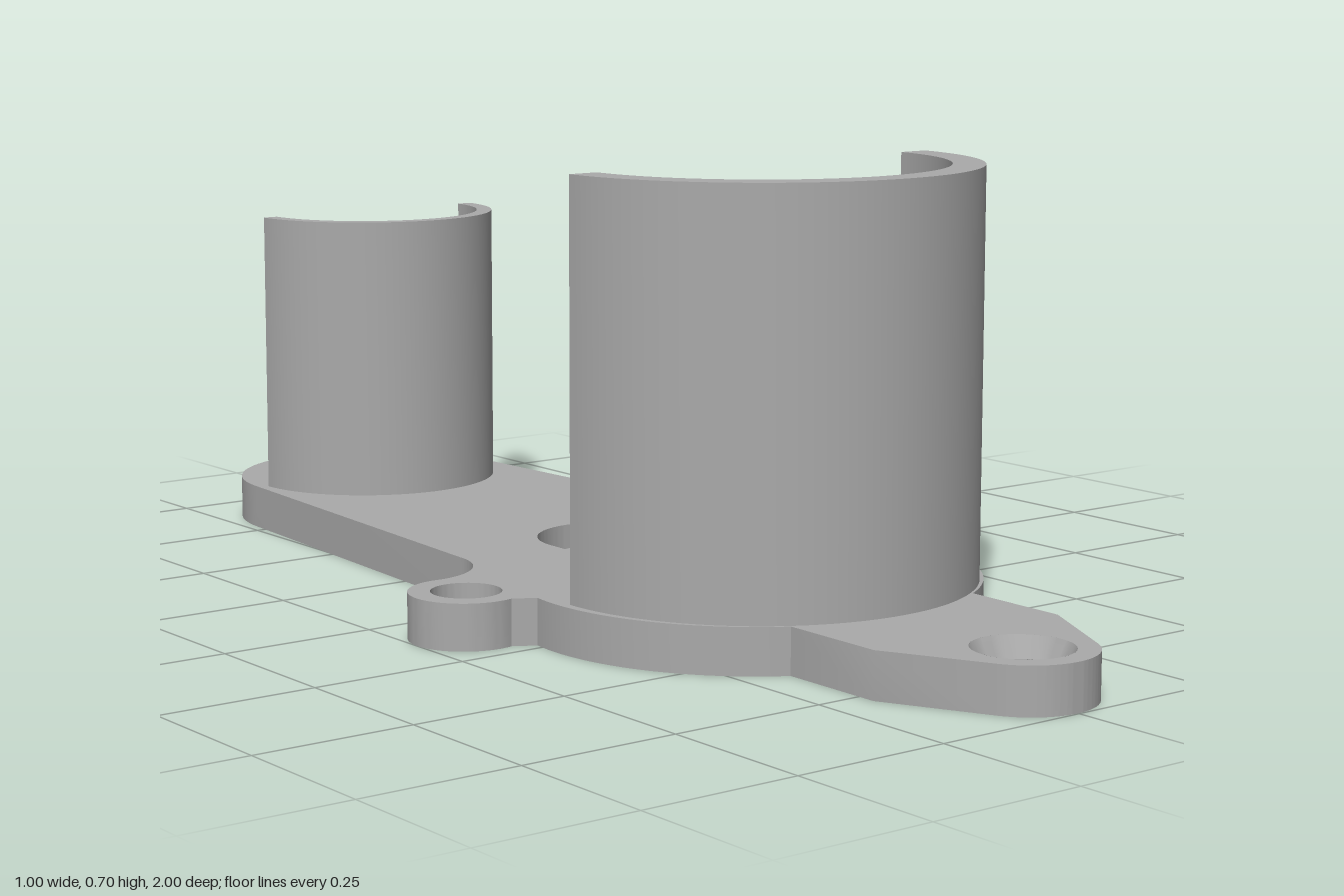
import * as THREE from 'three';
import { toCreasedNormals } from 'three/addons/utils/BufferGeometryUtils.js';

const T = 0.072; // plate thickness

// Extrudes a shape drawn in (x, z) upwards from y = base
function slab(shape, base, height) {
  const g = new THREE.ExtrudeGeometry(shape, { depth: height, bevelEnabled: false, curveSegments: 32 });
  g.rotateX(Math.PI / 2);
  g.translate(0, base + height, 0);
  return toCreasedNormals(g, 0.5);
}

function circle(x, z, r) {
  return new THREE.Path().absarc(x, z, r, 0, Math.PI * 2, false);
}

// Half of the outline, mirrored to the other side
function plateShape() {
  const half = new THREE.Path();
  half.moveTo(0, -1);
  half.absarc(0, -0.767, 0.233, -Math.PI / 2, -0.07, false);   // rounded back end
  half.lineTo(0.285, -0.07);                                   // tapering arm
  half.absarc(0.4, -0.07, 0.115, Math.PI, Math.PI / 2, true);  // fillet into the ear
  half.absarc(0.412, 0.132, 0.088, -Math.PI / 2, 1.83, false); // ear
  half.absarc(0, 0.29, 0.36, -0.15, 1.057, false);             // round body
  half.lineTo(0.177, 0.78);                                    // front tab
  half.absarc(0, 0.89, 0.108, 0.468, Math.PI / 2, false);
  const right = half.getPoints(20);
  const left = right.filter(p => p.x > 1e-4).reverse().map(p => new THREE.Vector2(-p.x, p.y));
  const shape = new THREE.Shape([...right, ...left]);

  // Large holes, ear holes and tab hole
  shape.holes.push(circle(0, -0.767, 0.12), circle(0, 0.178, 0.104), circle(0, 0.89, 0.075));
  for (const s of [-1, 1]) shape.holes.push(circle(s * 0.412, 0.132, 0.054));
  // Ring of six screw holes
  for (let i = 0; i < 6; i++) {
    const a = i * Math.PI / 3;
    shape.holes.push(circle(0.245 * Math.cos(a), 0.291 + 0.245 * Math.sin(a), 0.028));
  }
  // Half-moon slot
  const slot = new THREE.Path();
  slot.moveTo(-0.118, -0.02);
  slot.absarc(0, -0.058, 0.118, Math.PI, Math.PI * 2, false);
  slot.lineTo(0.118, -0.02);
  slot.quadraticCurveTo(0, -0.06, -0.118, -0.02);
  shape.holes.push(slot);
  return shape;
}

// Half-round wall, open to the back
function halfRing(z, outer, inner) {
  const s = new THREE.Shape();
  s.absarc(0, z, outer, 0, Math.PI, false);
  s.absarc(0, z, inner, Math.PI, 0, true);
  s.closePath();
  return s;
}

export function createModel() {
  const model = new THREE.Group();
  model.name = 'bracket';
  const grey = new THREE.MeshStandardMaterial({ color: 0xaaaaaa });
  grey.name = 'grey';
  const add = (name, geometry) => {
    const mesh = new THREE.Mesh(geometry, grey);
    mesh.name = name;
    model.add(mesh);
  };

  add('basePlate', slab(plateShape(), 0, T));
  add('largeHolderWall', slab(halfRing(0.303, 0.345, 0.295), T, 0.703 - T));
  add('smallHolderWall', slab(halfRing(-0.767, 0.216, 0.19), T, 0.545 - T));

  // Countersunk lining of the tab hole
  const profile = [[0.075, 0], [0.06, 0], [0.06, 0.04], [0.075, T]]
    .map(([r, y]) => new THREE.Vector2(r, y)).reverse();
  const lining = toCreasedNormals(new THREE.LatheGeometry(profile, 48), 0.3);
  lining.translate(0, 0, 0.89);
  // Lining is a thin open surface
  const liningMaterial = grey;
  liningMaterial.side = THREE.DoubleSide;
  add('tabHoleLining', lining);

  return model;
}
